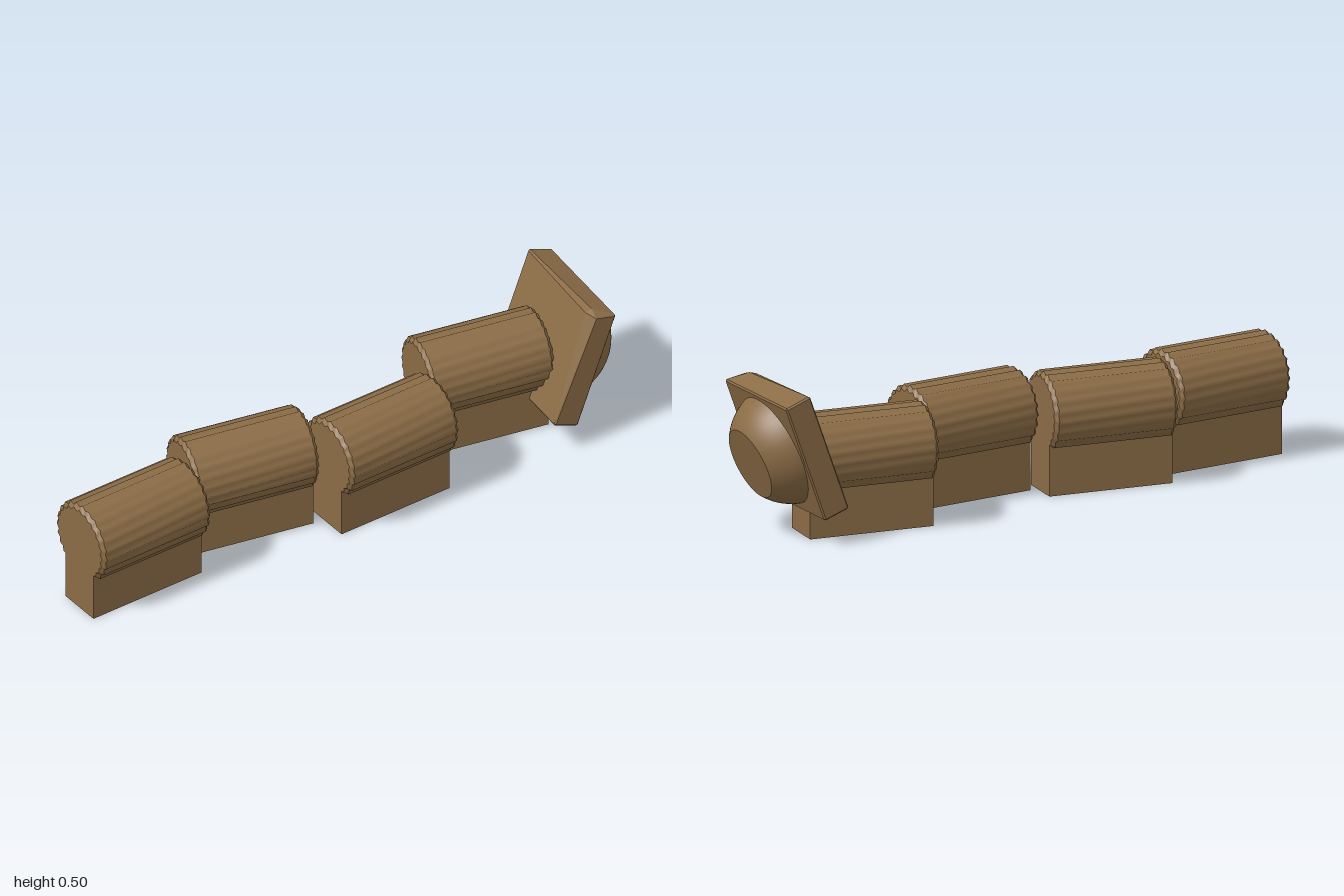
import * as THREE from 'three';
import { ConvexGeometry } from 'three/addons/geometries/ConvexGeometry.js';

const LENGTH = 0.42, RADIUS = 0.134, AXIS_Y = 0.257, TEETH = 24;

// Finely fluted log along x, with bevelled ends and smooth sides
function flutedLog() {
  const n = TEETH * 2, h = LENGTH / 2, bevel = 0.012;
  const rings = [[-h, 0], [-h, RADIUS - bevel], [-h + bevel, RADIUS],
    [h - bevel, RADIUS], [h, RADIUS - bevel], [h, 0]];
  const pos = [], index = [];
  for (let k = 0; k < rings.length - 1; k++) {
    const base = pos.length / 3;
    for (const [x, r] of [rings[k], rings[k + 1]]) {
      for (let i = 0; i < n; i++) {
        const a = (i / n) * Math.PI * 2;
        const rr = Math.max(0, r - (i % 2 ? 0.01 : 0));
        pos.push(x, rr * Math.cos(a), rr * Math.sin(a));
      }
    }
    for (let i = 0; i < n; i++) {
      const a0 = base + i, a1 = base + (i + 1) % n;
      index.push(a0, a1, a0 + n, a1, a1 + n, a0 + n);
    }
  }
  const g = new THREE.BufferGeometry();
  g.setAttribute('position', new THREE.Float32BufferAttribute(pos, 3));
  g.setIndex(index);
  g.computeVertexNormals();
  return g;
}

// Square plate with chamfered corners; the rear top corner at +z is chipped
function chippedPlate(hx, hy, hz) {
  const points = [];
  for (const sx of [-1, 1]) for (const sy of [-1, 1]) for (const sz of [-1, 1]) {
    const chip = sx < 0 && sy > 0 && sz > 0;
    const [bx, by, bz] = chip ? [0.02, 0.014, 0.04] : [0.005, 0.005, 0.005];
    points.push(
      new THREE.Vector3(sx * hx, sy * (hy - by), sz * (hz - bz)),
      new THREE.Vector3(sx * (hx - bx), sy * hy, sz * (hz - bz)),
      new THREE.Vector3(sx * (hx - bx), sy * (hy - by), sz * hz));
  }
  return new ConvexGeometry(points);
}

export function createModel() {
  const model = new THREE.Group();
  const brown = new THREE.MeshStandardMaterial({ color: 0x8b6c46 });
  brown.name = 'brown';
  const add = (parent, name, geometry) => {
    const mesh = new THREE.Mesh(geometry, brown);
    mesh.name = name;
    parent.add(mesh);
    return mesh;
  };

  // Four body segments in a zigzag row
  const log = flutedLog();
  const foot = new THREE.BoxGeometry(LENGTH, AXIS_Y, 0.15);
  const centres = [[-0.779, 0.092], [-0.328, -0.003], [0.122, 0.092], [0.576, -0.09]];
  centres.forEach(([x, z], i) => {
    const segment = new THREE.Group();
    segment.name = 'segment' + (i + 1);
    segment.position.set(x, 0, z);
    segment.rotation.y = THREE.MathUtils.degToRad(i % 2 ? -6 : 6);
    add(segment, 'flutedLog', log).position.y = AXIS_Y;
    add(segment, 'foot', foot).position.y = AXIS_Y / 2;
    model.add(segment);
  });

  // Tilted head plate with a flat-topped dome
  const head = new THREE.Group();
  head.name = 'head';
  head.position.set(0.822, 0.292, -0.043);
  head.rotation.z = THREE.MathUtils.degToRad(-20);
  add(head, 'plate', chippedPlate(0.046, 0.204, 0.204));

  const profile = [];
  const R = 0.197, sunk = 0.0625;
  for (let i = 0; i <= 12; i++) {
    const y = 0.094 * i / 12;
    profile.push(new THREE.Vector2(Math.sqrt(R * R - (y + sunk) ** 2), y));
  }
  const dome = add(head, 'dome', new THREE.LatheGeometry(profile, 48));
  dome.rotation.z = -Math.PI / 2;
  dome.position.x = 0.046;
  const cap = add(head, 'domeCap', new THREE.CircleGeometry(profile[12].x, 48));
  cap.rotation.y = Math.PI / 2;
  cap.position.x = 0.046 + 0.094;
  model.add(head);

  return model;
}
